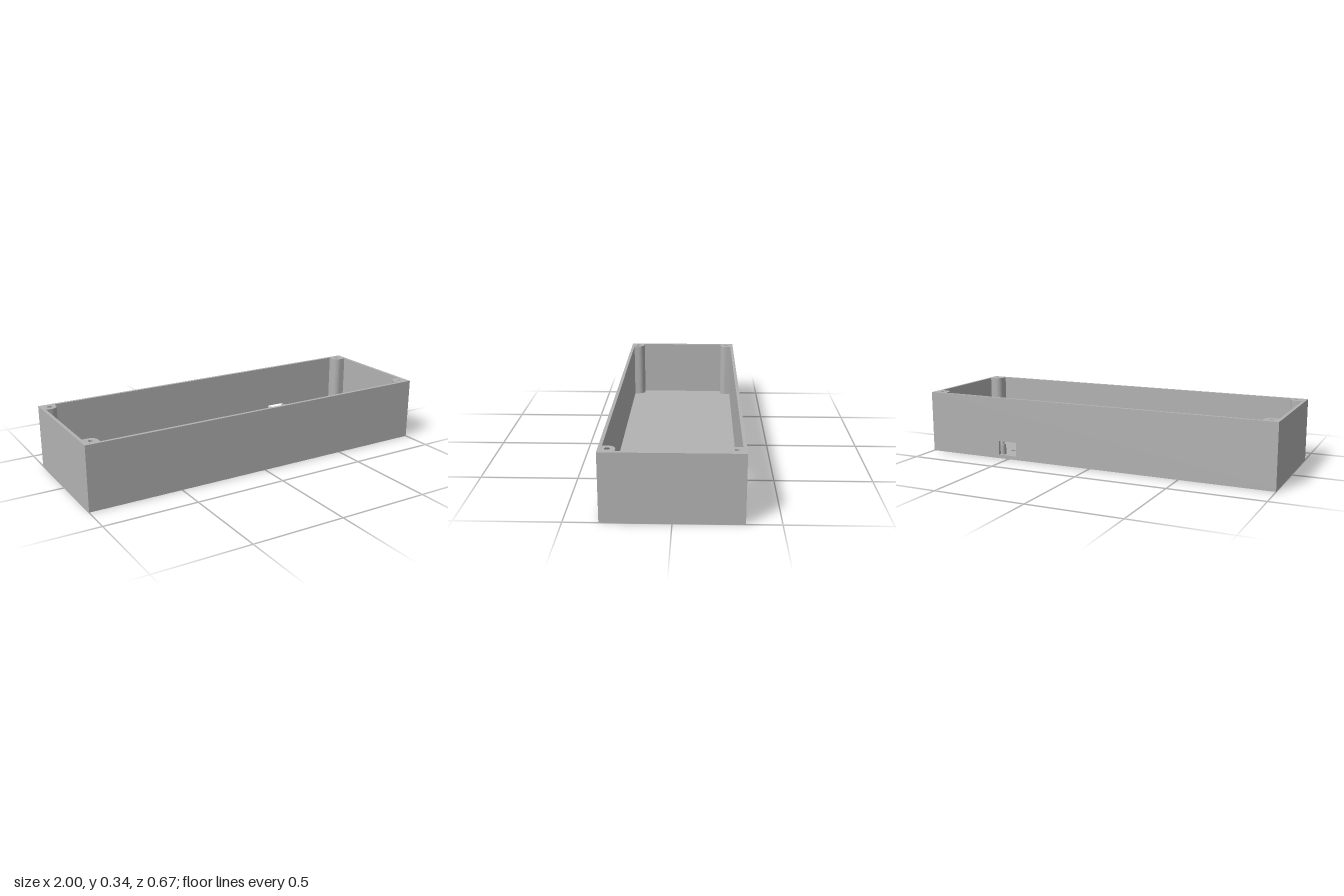
import * as THREE from 'three';

const W = 2, D = 0.667, H = 0.342; // outer size
const T = 0.0167;                  // wall and floor thickness

function circleHole(x, y, r) {
  return new THREE.Path().absarc(x, y, r, 0, Math.PI * 2, true);
}

function rect(shape, x0, y0, x1, y1) {
  return shape.moveTo(x0, y0).lineTo(x1, y0).lineTo(x1, y1).lineTo(x0, y1).closePath();
}

// Extrudes a plan (x, -z) upwards from y0 to y1
function extrudeUp(shape, y0, y1) {
  const g = new THREE.ExtrudeGeometry(shape, { depth: y1 - y0, bevelEnabled: false, curveSegments: 20 });
  return g.rotateX(-Math.PI / 2).translate(0, y0, 0);
}

export function createModel() {
  const group = new THREE.Group();
  const grey = new THREE.MeshStandardMaterial({ color: 0xb3b3b3 });
  grey.name = 'grey plastic';

  function add(name, geometry, x = 0, y = 0, z = 0) {
    const mesh = new THREE.Mesh(geometry, grey);
    mesh.name = name;
    mesh.position.set(x, y, z);
    group.add(mesh);
  }

  // Floor with two small through holes
  const floor = rect(new THREE.Shape(), -W / 2, -D / 2, W / 2, D / 2);
  for (const x of [0.467, 0.538]) floor.holes.push(circleHole(x, 0.208, 0.015));
  add('floor', extrudeUp(floor, 0, T));

  // Back wall with a rectangular connector opening
  const back = rect(new THREE.Shape(), -W / 2, T, W / 2, H);
  back.holes.push(rect(new THREE.Path(), 0.448, 0.02, 0.559, 0.098));
  add('backWall', new THREE.ExtrudeGeometry(back, { depth: T, bevelEnabled: false }), 0, 0, -D / 2);

  // Front and side walls
  const wallH = H - T, wallY = (H + T) / 2;
  add('frontWall', new THREE.BoxGeometry(W, wallH, T), 0, wallY, D / 2 - T / 2);
  for (const s of [-1, 1]) {
    add(s > 0 ? 'leftWall' : 'rightWall', new THREE.BoxGeometry(T, wallH, D - 2 * T), s * (W / 2 - T / 2), wallY, 0);
  }

  // Corner screw posts: rounded towards the inside, filled into the corner
  const cx = 0.953, cz = 0.29, r = 0.037;
  const ex = W / 2 - T, ez = D / 2 - T;
  for (const sx of [-1, 1]) for (const sz of [-1, 1]) {
    const post = new THREE.Shape();
    post.moveTo(sx * ex, sz * ez);
    post.lineTo(sx * (cx - r), sz * ez);
    for (let i = 0; i <= 12; i++) {
      const a = (i / 12) * Math.PI / 2;
      post.lineTo(sx * (cx - r * Math.cos(a)), sz * (cz - r * Math.sin(a)));
    }
    post.lineTo(sx * ex, sz * (cz - r));
    post.closePath();
    post.holes.push(circleHole(sx * cx, sz * cz, 0.013));
    add('cornerPost', extrudeUp(post, T, H));
  }

  // Board standoffs, each with a thin locating pin
  const shoulder = 0.075, pinTop = 0.095;
  for (const [z, radius] of [[-0.297, 0.017], [0.126, 0.02]]) {
    for (const x of [0.452, 0.555]) {
      add('standoff', new THREE.CylinderGeometry(radius, radius, shoulder - T, 24), x, (shoulder + T) / 2, z);
      add('standoffPin', new THREE.CylinderGeometry(0.008, 0.008, pinTop - shoulder, 16), x, (pinTop + shoulder) / 2, z);
    }
  }

  return group;
}
